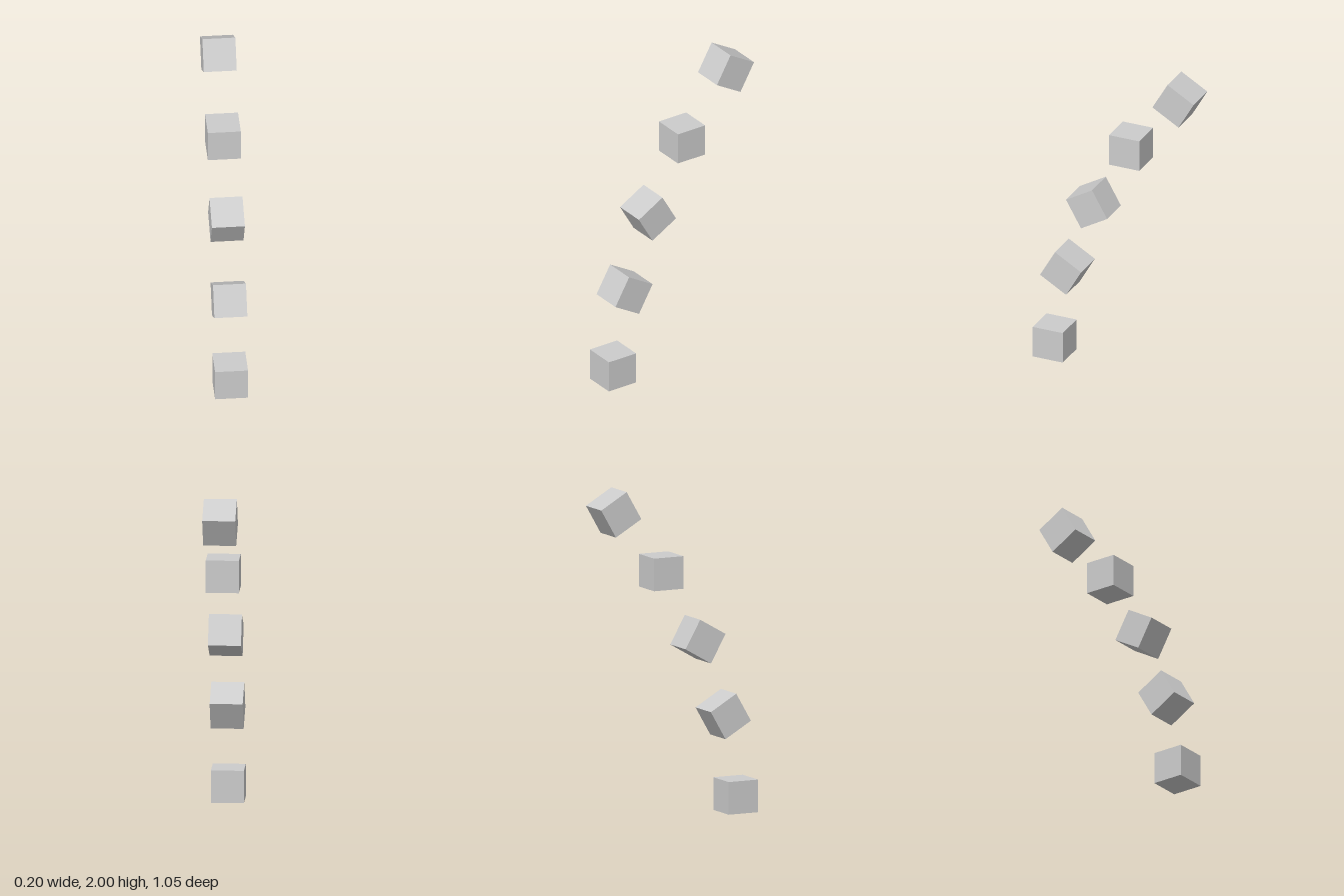
import * as THREE from 'three';

export function createModel() {
  const model = new THREE.Group();
  const grey = new THREE.MeshStandardMaterial({ color: 0xcccccc });
  grey.name = 'light grey';

  const size = 0.197;
  const cubeGeometry = new THREE.BoxGeometry(size, size, size);

  // Rising arc of separate cubes, from lowest to highest: [y, z, tilt in degrees]
  const cubes = [
    [size / 2, 0.427, 0],
    [0.592, 0.343, -30],
    [1.057, 0.173, 30],
    [1.486, -0.074, 0],
    [1.866, -0.393, -30],
  ];

  cubes.forEach(([y, z, tilt], i) => {
    const cube = new THREE.Mesh(cubeGeometry, grey);
    cube.name = `cube${i + 1}`;
    cube.position.set(0, y, z);
    cube.rotation.x = THREE.MathUtils.degToRad(tilt);
    model.add(cube);
  });

  return model;
}
